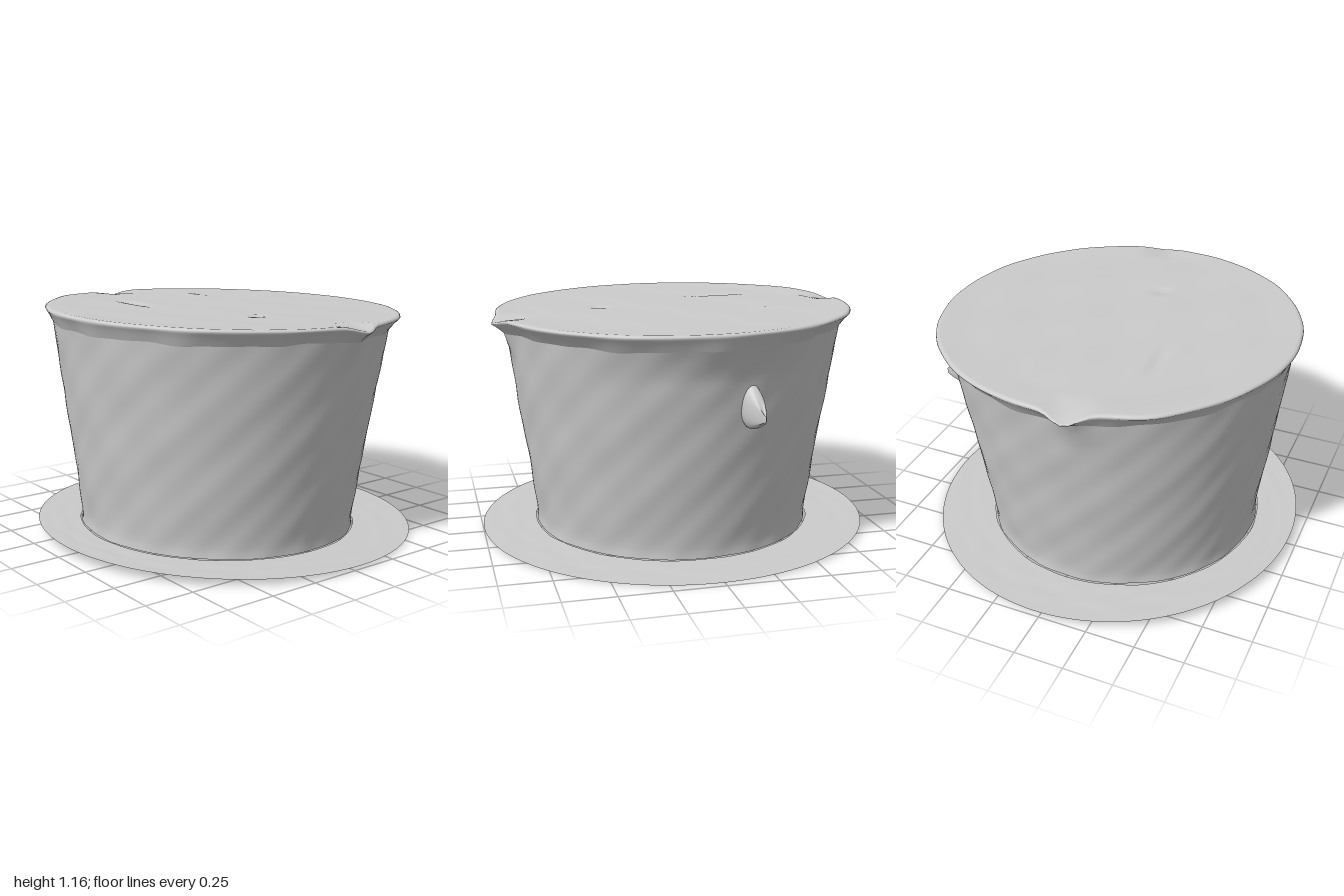
import * as THREE from 'three';

const material = new THREE.MeshStandardMaterial({ color: 0xcccccc, side: THREE.DoubleSide });
const SEG = 144;

// Smooth, repeatable unevenness
const wobble = (a, t) =>
  0.5 * Math.sin(5 * a + 7 * t) * Math.sin(9 * t + 2 * a) +
  0.3 * Math.sin(13 * a - 11 * t + 1) + 0.2 * Math.sin(23 * a + 31 * t);

// Bell-shaped bump around an angle
const bump = (a, centre, width) => {
  const d = Math.atan2(Math.sin(a - centre), Math.cos(a - centre)) / width;
  return Math.exp(-d * d);
};

// Closed ring surface: point(a, t) gives [x, y, z], t runs from 0 to 1
function ringSurface(name, rows, point) {
  const pos = [], index = [];
  for (let j = 0; j <= rows; j++)
    for (let i = 0; i < SEG; i++) pos.push(...point(i / SEG * Math.PI * 2, j / rows));
  for (let j = 0; j < rows; j++)
    for (let i = 0; i < SEG; i++) {
      const n = (i + 1) % SEG, a = j * SEG + i, b = j * SEG + n;
      index.push(a, a + SEG, b, b, a + SEG, b + SEG);
    }
  const geo = new THREE.BufferGeometry();
  geo.setAttribute('position', new THREE.Float32BufferAttribute(pos, 3));
  geo.setIndex(index);
  geo.computeVertexNormals();
  const mesh = new THREE.Mesh(geo, material);
  mesh.name = name;
  return mesh;
}

// Slightly tilted planes of the base and the lid
const baseY = (x, z) => 0.035 + 0.025 * z - 0.008 * x;
const lidY = (x, z) => 1.145 + 0.02 * z - 0.015 * x;

// Ragged outline of the lid
const spikes = a => bump(a, 3.0, 0.09) + 0.7 * bump(a, -0.13, 0.08);
function lidEdge(a) {
  const r = 0.903 + 0.004 * wobble(a, 0.3) + 0.05 * spikes(a) + 0.02 * bump(a, 2.58, 0.14);
  return [r * Math.cos(a), r * Math.sin(a)];
}

// Foot of the wall, where it meets the brim
function foot(a) {
  const r = 0.72 + 0.005 * wobble(a, 0.7);
  return [r * Math.cos(a), 0.04 + r * Math.sin(a)];
}

function wallPoint(a, t) {
  const [x0, z0] = foot(a);
  const r = THREE.MathUtils.lerp(0.7, 0.855, t) + 0.006 * wobble(a, t)
    + 0.012 * Math.exp(-t * 30);
  const zc = THREE.MathUtils.lerp(0.04, 0.015, t);
  let x = r * Math.cos(a), z = zc + r * Math.sin(a);
  // Flare that starts lower at the back and beside the spikes
  const flare = 0.035 * Math.max(0, (t - 0.85) / 0.15) ** 1.5
    * Math.min(1, bump(a, -1.6, 0.5) + spikes(a));
  x += flare * Math.cos(a);
  z += flare * Math.sin(a);
  const y0 = baseY(x0, z0);
  const y1 = lidY(x, z) - 0.075 + 0.01 * wobble(a, 0.1);
  return [x, y0 + (y1 - y0) * t, z];
}

// Rolled lip between the wall and the lid
function lipPoint(a, t) {
  const [wx, wy, wz] = wallPoint(a, 1);
  const [ex, ez] = lidEdge(a);
  const out = Math.min(1, t * 1.7);
  const s = t < 0.6 ? out : 1 - 0.022 * ((t - 0.6) / 0.4) ** 2;
  const k = t < 0.6 ? [wx + (ex - wx) * s, wz + (ez - wz) * s] : [ex * s, ez * s];
  const top = lidY(ex, ez) + 0.004 - 0.035 * spikes(a);
  return [k[0], wy + (top - wy) * Math.sin(t * Math.PI / 2), k[1]];
}

function lidPoint(a, t) {
  const edge = lipPoint(a, 1), r = 1 - t;
  const x = edge[0] * r, z = edge[2] * r;
  const blend = Math.min(1, t * 6);
  // Shallow ridges and dents
  const dent = (cx, cz, w, d, h) => h * Math.exp(-(((x - cx) / w) ** 2) - ((z - cz) / d) ** 2);
  const relief = 0.002 * Math.sin(9 * x + 4 * z) * Math.sin(11 * z - 3 * x)
    + dent(-0.32, 0.33, 0.13, 0.03, -0.012) + dent(0.37, 0.08, 0.03, 0.04, -0.012)
    + dent(-0.5, -0.2, 0.12, 0.05, 0.006) + dent(0.05, -0.87, 0.2, 0.03, -0.01);
  return [x, THREE.MathUtils.lerp(edge[1], lidY(x, z) + relief, blend), z];
}

function brimPoint(a, t) {
  const [fx, fz] = foot(a);
  const x = THREE.MathUtils.lerp(Math.cos(a), fx, t);
  const z = THREE.MathUtils.lerp(0.965 * Math.sin(a), fz, t);
  const inside = Math.sin(t * Math.PI);
  return [x, baseY(x, z) + 0.004 * inside * wobble(a, t), z];
}

// Small hooked lump sticking out of the back wall
function lumpPoint(a, t) {
  const r = 0.085 * (1 - t) ** 1.5 + 0.035 * Math.sin(Math.PI * t) ** 0.7;
  return [
    -0.17 + 0.55 * r * Math.cos(a) - 0.03 * t,
    0.78 - 0.04 * t + 1.2 * r * Math.sin(a) + 0.012 * t * Math.sin(3 * a),
    -0.765 - 0.145 * t,
  ];
}

export function createModel() {
  const model = new THREE.Group();
  model.name = 'flangedTub';
  model.add(
    ringSurface('brim', 8, brimPoint),
    ringSurface('wall', 40, wallPoint),
    ringSurface('lip', 10, lipPoint),
    ringSurface('lid', 30, lidPoint),
    ringSurface('backLump', 12, lumpPoint),
  );
  return model;
}
